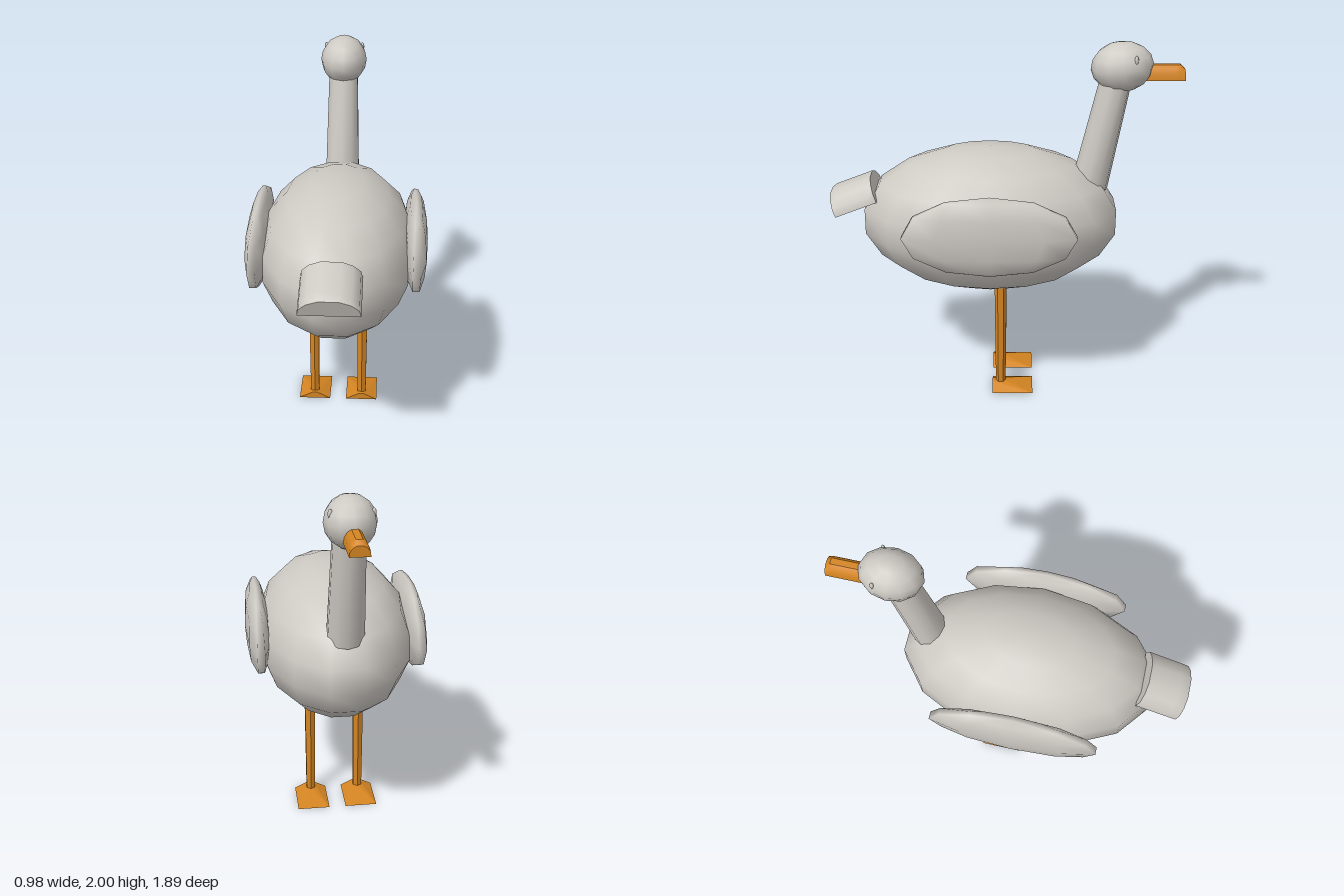
import * as THREE from 'three';
import { toCreasedNormals } from 'three/addons/utils/BufferGeometryUtils.js';
import { ConvexGeometry } from 'three/addons/geometries/ConvexGeometry.js';

const plumage = new THREE.MeshStandardMaterial({ color: 0xcdc9c3 });
plumage.name = 'plumageGrey';
const orange = new THREE.MeshStandardMaterial({ color: 0xd58522 });
orange.name = 'legOrange';

function mesh(name, geometry, material, x = 0, y = 0, z = 0) {
  const m = new THREE.Mesh(geometry, material);
  m.name = name;
  m.position.set(x, y, z);
  return m;
}

function ellipsoid(rx, ry, rz, around, down) {
  return new THREE.SphereGeometry(1, around, down).scale(rx, ry, rz);
}

// Flat-bottomed arch extruded along +z, with its far end slightly lowered
function archBar(halfWidth, height, length, endScale) {
  const half = [[1, 0], [0.94, 0.42], [0.7, 0.77], [0.33, 1]];
  const outline = [...half, ...half.map(([x, y]) => [-x, y]).reverse()];
  const shape = new THREE.Shape(outline.map(([x, y]) => new THREE.Vector2(x * halfWidth, y * height)));
  const g = new THREE.ExtrudeGeometry(shape, { depth: length, steps: 8, bevelEnabled: false });
  const p = g.attributes.position;
  for (let i = 0; i < p.count; i++) {
    if (p.getZ(i) > length * 0.99) p.setY(i, p.getY(i) * endScale);
  }
  return toCreasedNormals(g, 0.7);
}

// Rectangular webbed foot rising to a ridge at the heel
function footGeometry() {
  const points = [[-0.09, 0, 0.055], [0.09, 0, 0.055], [-0.09, 0, -0.175], [0.09, 0, -0.175],
    [-0.015, 0.038, 0.055], [0.015, 0.038, 0.055], [0, 0.036, -0.01]];
  return new ConvexGeometry(points.map((p) => new THREE.Vector3(...p)));
}

export function createModel() {
  const bird = new THREE.Group();
  bird.name = 'bird';

  bird.add(mesh('body', ellipsoid(0.43, 0.412, 0.713, 14, 9), plumage, 0, 1.018, 0.065));

  // Neck leans forward, towards -z
  const from = new THREE.Vector3(0, 1.205, -0.477);
  const to = new THREE.Vector3(0, 1.84, -0.604);
  const neck = mesh('neck', toCreasedNormals(
    new THREE.CylinderGeometry(0.083, 0.1, from.distanceTo(to), 10), 0.8), plumage);
  neck.position.copy(from).lerp(to, 0.5);
  neck.rotation.x = -0.2;
  bird.add(neck);

  const head = mesh('head', ellipsoid(0.13, 0.132, 0.165, 12, 8), plumage, 0, 1.868, -0.626);
  head.rotation.x = 0.1;
  bird.add(head);

  const beak = mesh('beak', archBar(0.05, 0.075, 0.203, 0.7), orange, 0, 1.805, -0.75);
  beak.rotation.y = Math.PI;
  bird.add(beak);

  const tail = mesh('tail', archBar(0.155, 0.115, 0.243, 0.92), plumage, 0, 1.155, 0.675);
  tail.rotation.x = 0.37;
  bird.add(tail);

  // Paired parts
  for (const [side, s] of [['left', 1], ['right', -1]]) {
    bird.add(mesh(side + 'Wing', ellipsoid(0.067, 0.225, 0.48, 10, 6), plumage, s * 0.423, 1.075, 0.063));
    bird.add(mesh(side + 'Eye', ellipsoid(0.012, 0.025, 0.011, 8, 6), plumage, s * 0.102, 1.925, -0.687));

    const leg = new THREE.CylinderGeometry(0.034, 0.028, 0.65, 6).toNonIndexed();
    leg.computeVertexNormals();
    bird.add(mesh(side + 'Leg', leg, orange, s * 0.138, 0.36, 0.008));
    bird.add(mesh(side + 'Foot', footGeometry(), orange, s * 0.137, 0, 0));
  }
  return bird;
}
